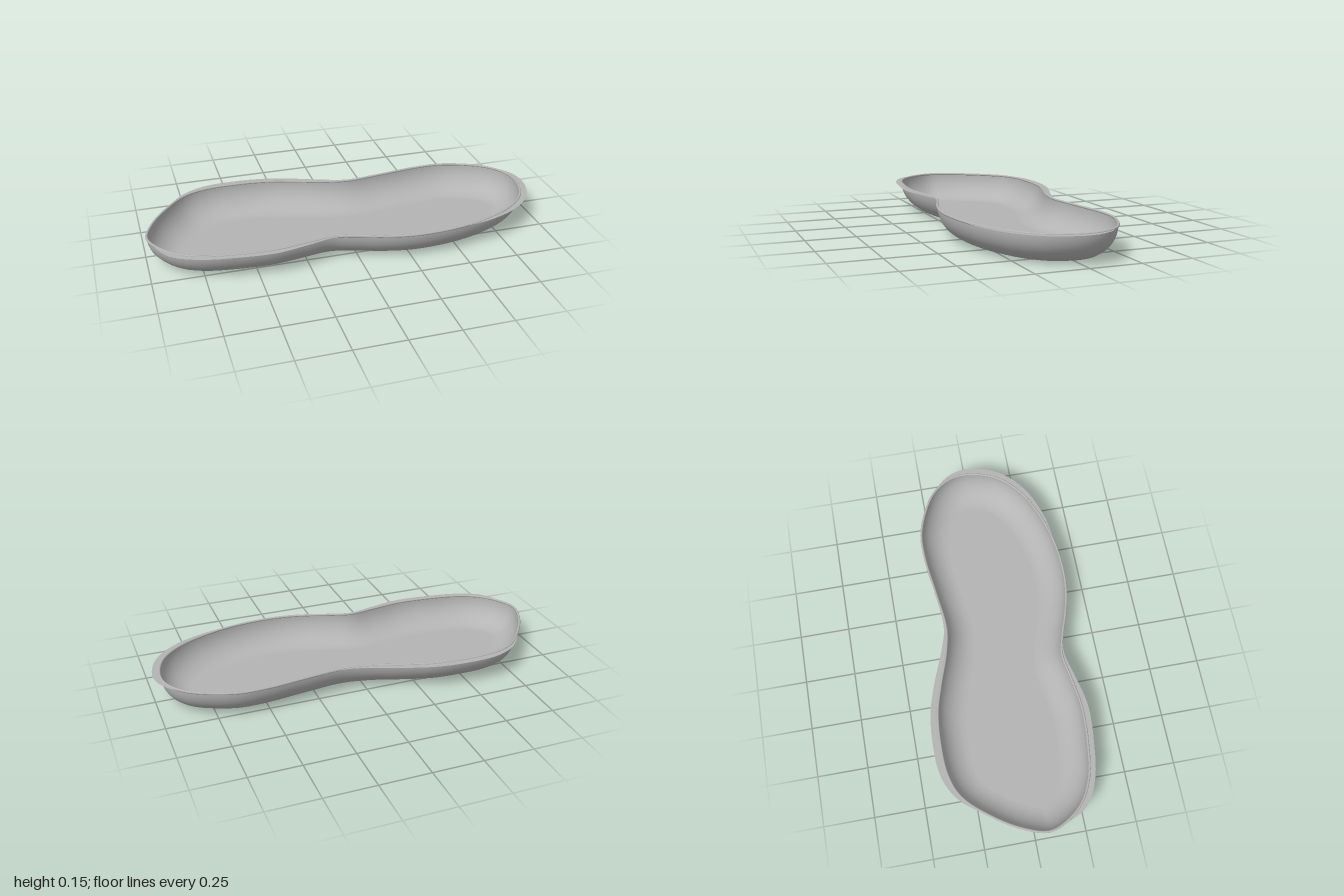
import * as THREE from 'three';

const SEGMENTS = 160;
const RIM_Y = 0.141;
const WALL = 0.135;

// Rim outline as [x, z, flange width], starting at the right tip and passing the front
const OUTLINE = [
  [-0.99, 0.065, 0], [-0.96, 0.15, 0.006], [-0.885, 0.242, 0.03], [-0.77, 0.302, 0.03],
  [-0.6, 0.333, 0.03], [-0.42, 0.342, 0.032], [-0.26, 0.32, 0.022], [-0.13, 0.302, 0.012],
  [-0.02, 0.33, 0], [0.09, 0.367, 0], [0.22, 0.396, 0], [0.35, 0.402, 0],
  [0.51, 0.385, 0.005], [0.66, 0.343, 0.02], [0.81, 0.268, 0.03], [0.92, 0.155, 0.035],
  [0.966, 0, 0.034], [0.95, -0.1, 0.02], [0.885, -0.188, 0], [0.78, -0.25, 0],
  [0.65, -0.292, 0], [0.51, -0.294, 0], [0.3, -0.268, 0.005], [0.11, -0.248, 0.012],
  [-0.02, -0.27, 0.025], [-0.18, -0.322, 0.033], [-0.32, -0.361, 0.035], [-0.48, -0.374, 0.037],
  [-0.64, -0.364, 0.033], [-0.755, -0.318, 0.018], [-0.88, -0.18, 0], [-0.957, -0.05, 0],
];

// Smooth closed curve; y temporarily carries the flange width
const curve = new THREE.CatmullRomCurve3(
  OUTLINE.map(([x, z, w]) => new THREE.Vector3(x, w, z)), true);

const samples = Array.from({ length: SEGMENTS }, (_, j) => {
  const p = curve.getPointAt(j / SEGMENTS);
  const t = curve.getTangentAt(j / SEGMENTS);
  const len = Math.hypot(t.x, t.z);
  return { x: p.x, z: p.z, width: Math.max(p.y, 0), nx: -t.z / len, nz: t.x / len };
});

// Outline moved outward by a distance (number or function of the sample)
function ring(offset, y) {
  return samples.map((s) => {
    const d = typeof offset === 'function' ? offset(s) : offset;
    return new THREE.Vector3(s.x + s.nx * d, y, s.z + s.nz * d);
  });
}

// Closed skin through a list of rings
function loft(rings) {
  const geometry = new THREE.BufferGeometry().setFromPoints(rings.flat());
  const index = [];
  for (let i = 0; i < rings.length - 1; i++) {
    for (let j = 0; j < SEGMENTS; j++) {
      const k = (j + 1) % SEGMENTS;
      const a = i * SEGMENTS + j, b = i * SEGMENTS + k;
      const c = a + SEGMENTS, d = b + SEGMENTS;
      index.push(a, c, d, a, d, b);
    }
  }
  geometry.setIndex(index);
  geometry.computeVertexNormals();
  return geometry;
}

export function createModel() {
  const group = new THREE.Group();
  const grey = new THREE.MeshStandardMaterial({ color: 0xb4b4b4, side: THREE.DoubleSide });
  grey.name = 'grey';

  const add = (name, geometry) => {
    const mesh = new THREE.Mesh(geometry, grey);
    mesh.name = name;
    group.add(mesh);
    return mesh;
  };

  // Quarter-round wall curving in to the floor
  const rings = [];
  for (let i = 0; i <= 14; i++) {
    const a = (i / 14) * Math.PI / 2;
    rings.push(ring(-WALL * (1 - Math.cos(a)), WALL * (1 - Math.sin(a)) + (RIM_Y - WALL) * (1 - i / 14)));
  }
  add('wall', loft(rings));

  // Flat floor
  const shape = new THREE.Shape(
    rings[rings.length - 1].map((p) => new THREE.Vector2(p.x, -p.z)));
  add('floor', new THREE.ShapeGeometry(shape).rotateX(-Math.PI / 2));

  // Rounded bead along the top edge
  const beadPath = new THREE.CatmullRomCurve3(ring(0, RIM_Y), true);
  add('rimBead', new THREE.TubeGeometry(beadPath, SEGMENTS, 0.006, 10, true));

  // Thin flat flange of uneven width outside the bead
  add('flange', loft([ring(0, RIM_Y), ring((s) => s.width, RIM_Y)]));

  return group;
}
